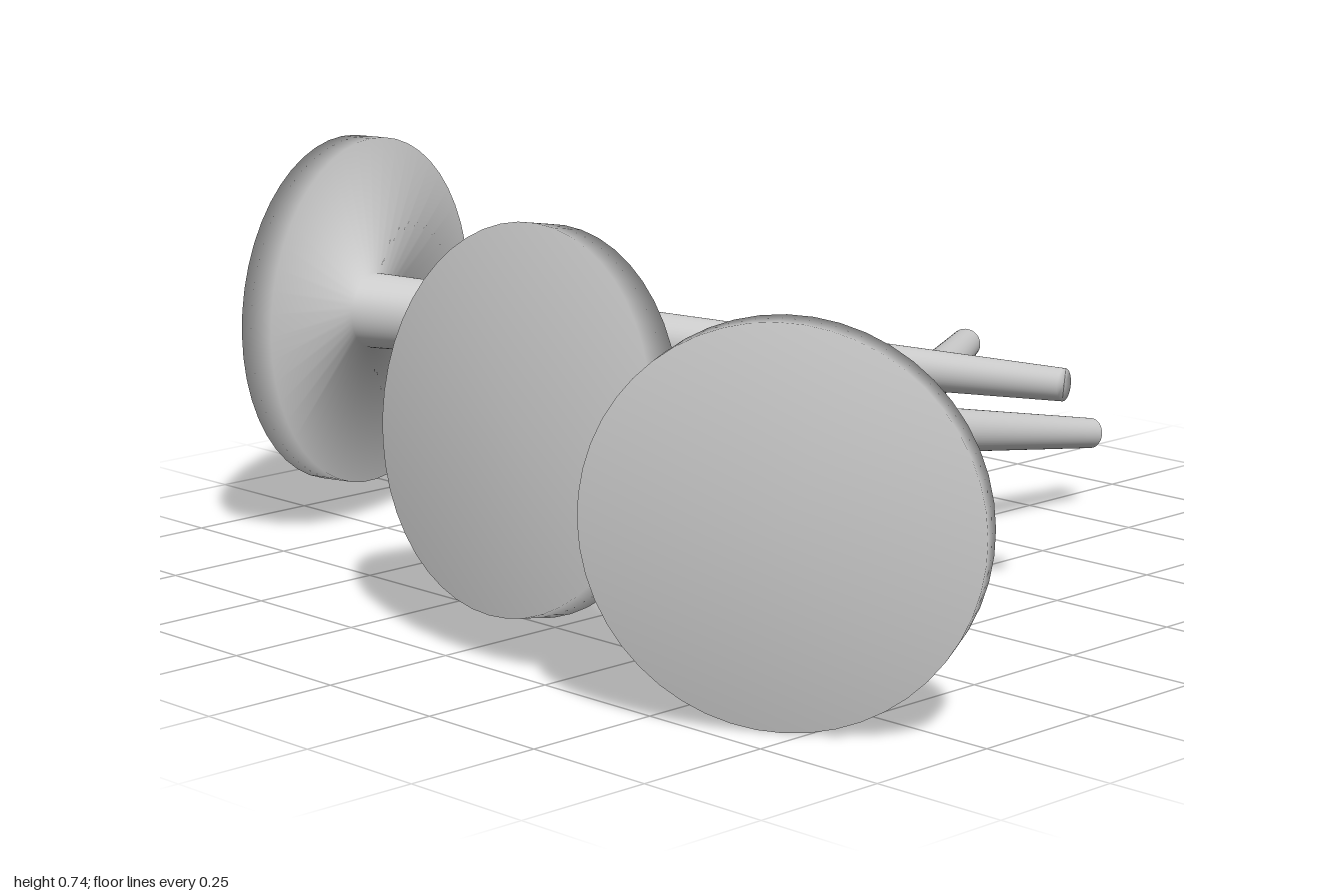
import * as THREE from 'three';

// Flat round head and tapering shaft, turned as one smooth-shaded profile along +y
const HEAD_RADIUS = 0.331, HALF_HEAD = 0.033, LENGTH = 1.485;
const profile = [
  [0, -HALF_HEAD], [HEAD_RADIUS, -HALF_HEAD], [HEAD_RADIUS, HALF_HEAD],
  [0.072, HALF_HEAD], [0.029, LENGTH], [0, LENGTH],
].map(([r, y]) => new THREE.Vector2(r, y));

// Centre of each head and centre of each shaft end
const nails = [
  { name: 'tiltedNail', head: [-0.64, 0.405, 0.09], tip: [0.825, 0.148, 0.09] },
  { name: 'backNail', head: [-0.2, 0.402, -0.88], tip: [0.2, 0.408, 0.55] },
  { name: 'frontNail', head: [-0.64, 0.332, 0.695], tip: [0.633, 0.33, -0.068] },
];

export function createModel() {
  const group = new THREE.Group();
  group.name = 'looseNails';
  const material = new THREE.MeshStandardMaterial({ color: 0xcccccc });
  const geometry = new THREE.LatheGeometry(profile, 48);
  const up = new THREE.Vector3(0, 1, 0);

  for (const { name, head, tip } of nails) {
    const nail = new THREE.Mesh(geometry, material);
    nail.name = name;
    nail.position.set(...head);
    const direction = new THREE.Vector3(...tip).sub(nail.position).normalize();
    nail.quaternion.setFromUnitVectors(up, direction);
    group.add(nail);
  }
  return group;
}
